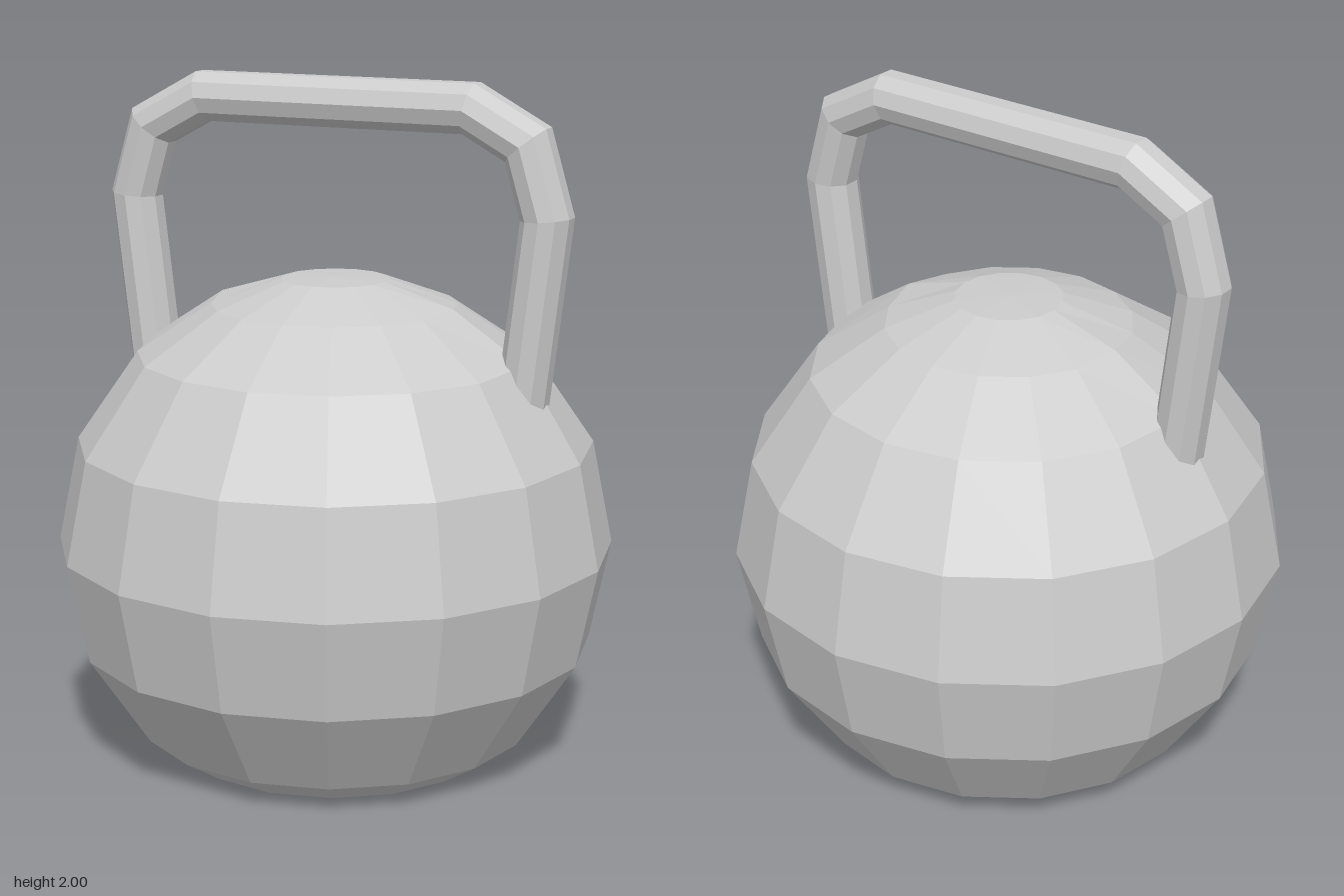
import * as THREE from 'three';

const material = new THREE.MeshStandardMaterial({ color: 0xcccccc, flatShading: true });

// Polygonal tube along a path in the xy plane, with mitred joints
function mitredTube(path, halfDepth, halfWidth, sides) {
  const positions = [], index = [];
  path.forEach((p, i) => {
    const before = p.clone().sub(path[Math.max(i - 1, 0)]).normalize();
    const after = path[Math.min(i + 1, path.length - 1)].clone().sub(p).normalize();
    const tangent = before.clone().add(after).normalize();
    const along = i > 0 ? before : after;
    const mitre = 1 / tangent.dot(along);
    for (let j = 0; j < sides; j++) {
      const a = (j / sides) * Math.PI * 2;
      const side = Math.sin(a) * halfWidth * mitre;
      positions.push(p.x - tangent.y * side, p.y + tangent.x * side, Math.cos(a) * halfDepth);
    }
  });
  for (let i = 0; i < path.length - 1; i++) {
    for (let j = 0; j < sides; j++) {
      const a = i * sides + j, b = i * sides + (j + 1) % sides;
      index.push(a, a + sides, b, b, a + sides, b + sides);
    }
  }
  const geometry = new THREE.BufferGeometry();
  geometry.setAttribute('position', new THREE.Float32BufferAttribute(positions, 3));
  geometry.setIndex(index);
  geometry.computeVertexNormals();
  return geometry;
}

export function createModel() {
  const model = new THREE.Group();

  // Faceted ball with a flat base and a small flat crown
  const profile = [
    [0, 0], [0.46, 0], [0.58, 0.075], [0.757, 0.34], [0.818, 0.635],
    [0.757, 0.94], [0.578, 1.2], [0.36, 1.345], [0.157, 1.42], [0, 1.425],
  ].map(([r, y]) => new THREE.Vector2(r, y));
  const ballGeometry = new THREE.LatheGeometry(profile, 16);

  // Slight swelling of the shoulders where the handle joins
  const pos = ballGeometry.attributes.position;
  for (let i = 0; i < pos.count; i++) {
    const x = pos.getX(i), y = pos.getY(i);
    if (Math.abs(pos.getZ(i)) < 0.01 && y > 1.1 && y < 1.4) {
      pos.setXYZ(i, x * 1.015, y + 0.012, 0);
    }
  }
  const ball = new THREE.Mesh(ballGeometry, material);
  ball.name = 'weightBall';
  model.add(ball);

  // Handle: one half of the path, mirrored to the other side
  const half = [[0.57, 1.0], [0.645, 1.632], [0.585, 1.836], [0.415, 1.929]];
  const path = [
    ...half.map(([x, y]) => new THREE.Vector2(-x, y)),
    ...half.slice().reverse().map(([x, y]) => new THREE.Vector2(x, y)),
  ];
  const handleMaterial = material.clone();
  handleMaterial.side = THREE.DoubleSide;
  const handle = new THREE.Mesh(mitredTube(path, 0.08, 0.0745, 10), handleMaterial);
  handle.name = 'handle';
  model.add(handle);

  return model;
}
